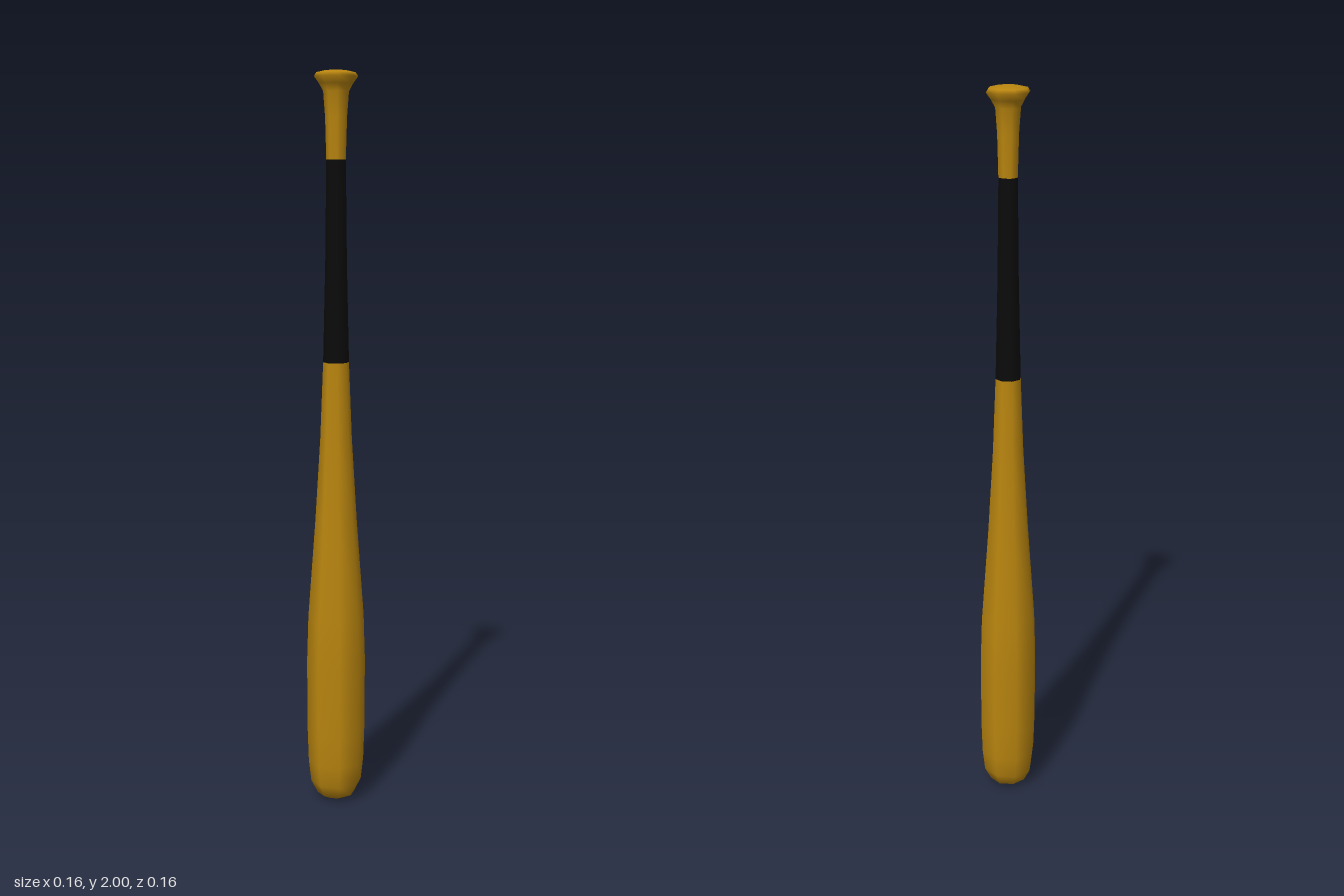
import * as THREE from 'three';

export function createModel() {
  const wood = new THREE.MeshStandardMaterial({ color: 0xb9850f });
  wood.name = 'wood';
  const tape = new THREE.MeshStandardMaterial({ color: 0x0b0b0b });
  tape.name = 'black tape';

  const bat = new THREE.Group();
  bat.name = 'bat';

  // Eight-sided smooth turned section from [radius, height] pairs, bottom to top
  function turned(name, profile, material) {
    const points = profile.map(([r, y]) => new THREE.Vector2(r, y));
    const mesh = new THREE.Mesh(new THREE.LatheGeometry(points, 8), material);
    mesh.name = name;
    bat.add(mesh);
  }

  // Rounded end, straight barrel and long taper
  turned('barrel', [
    [0, 0], [0.03, 0.004], [0.052, 0.015], [0.07, 0.05], [0.077, 0.11], [0.08, 0.2],
    [0.081, 0.4], [0.077, 0.53], [0.057, 0.8], [0.043, 1.03], [0.035, 1.235],
  ], wood);

  // Taped grip
  turned('grip', [[0.035, 1.235], [0.029, 1.5], [0.026, 1.77]], tape);

  // Flared handle end with a shallow domed knob
  turned('knob', [
    [0.026, 1.77], [0.029, 1.88], [0.034, 1.945], [0.045, 1.965],
    [0.058, 1.983], [0.052, 1.993], [0.03, 1.998], [0, 2],
  ], wood);

  return bat;
}
